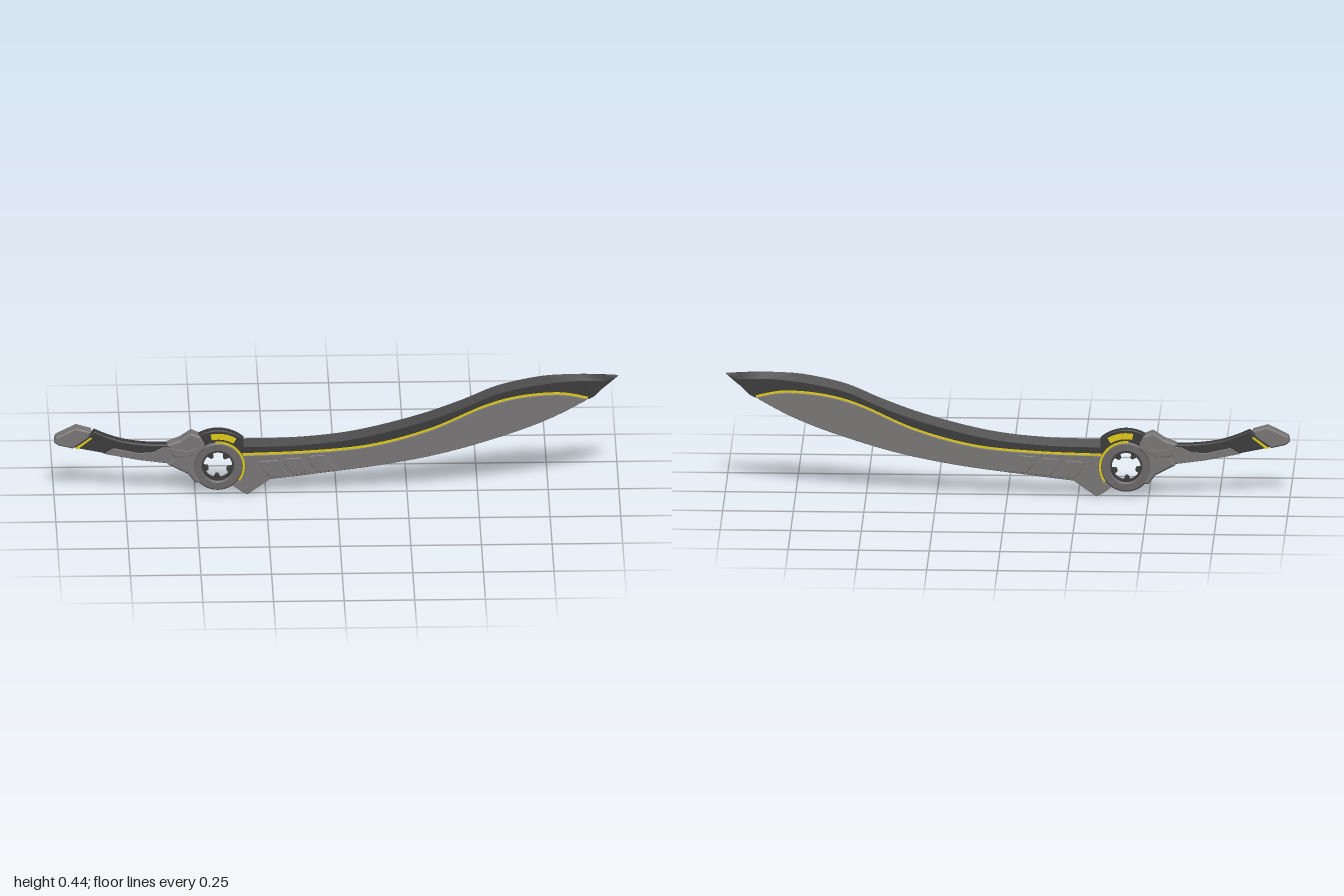
import * as THREE from 'three';

const mat = (name, color) => {
  const m = new THREE.MeshStandardMaterial({ color });
  m.name = name;
  return m;
};
const V = (p) => new THREE.Vector2(p[0], p[1]);
const smooth = (pts, n = 40) => new THREE.SplineCurve(pts.map(V)).getPoints(n);
const HUB = [-0.42, 0.112];

// points on an arc around the hub, angles in degrees
function arc(r, a0, a1, n = 24) {
  const out = [];
  for (let i = 0; i <= n; i++) {
    const a = THREE.MathUtils.degToRad(a0 + (a1 - a0) * i / n);
    out.push(new THREE.Vector2(HUB[0] + r * Math.cos(a), HUB[1] + r * Math.sin(a)));
  }
  return out;
}
const sector = (r0, r1, a0, a1) => [...arc(r1, a0, a1), ...arc(r0, a1, a0)];

export function createModel() {
  const group = new THREE.Group();
  const light = mat('steel grey', 0x777474);
  const mid = mat('ring grey', 0x686666);
  const dark = mat('charcoal', 0x3a3a3a);
  const yellow = mat('yellow', 0xdcc814);

  // flat outline extruded evenly to both sides of z = 0
  function plate(name, pts, half, bevel, material, hole) {
    const shape = new THREE.Shape(pts.map((p) => (p.isVector2 ? p : V(p))));
    if (hole) shape.holes.push(new THREE.Path(hole));
    const geo = new THREE.ExtrudeGeometry(shape, {
      depth: 2 * (half - bevel), bevelEnabled: bevel > 0, bevelThickness: bevel,
      bevelSize: bevel, bevelOffset: -bevel, bevelSegments: 1, curveSegments: 12,
    });
    geo.translate(0, 0, -(half - bevel));
    const mesh = new THREE.Mesh(geo, material);
    mesh.name = name;
    group.add(mesh);
    return mesh;
  }

  // dark spine of the blade: five-sided sections with a ridge on top
  const topPts = [[-0.35, 0.212], [-0.15, 0.215], [0.06, 0.238], [0.28, 0.293], [0.44, 0.35],
    [0.57, 0.405], [0.71, 0.437], [0.81, 0.445], [0.91, 0.445], [0.998, 0.44]];
  const seam = [[-0.345, 0.152], [-0.1, 0.16], [0.12, 0.182], [0.33, 0.24], [0.52, 0.325],
    [0.65, 0.362], [0.79, 0.373], [0.89, 0.355]];
  const lowPts = [[-0.35, 0.145], [-0.13, 0.153], [0.08, 0.172], [0.3, 0.225], [0.45, 0.285],
    [0.57, 0.335], [0.72, 0.362], [0.88, 0.35], [0.945, 0.394], [0.998, 0.438]];
  const N = 63;
  const top = smooth(topPts, N), low = smooth(lowPts, N);
  const pos = [], idx = [];
  for (let i = 0; i <= N; i++) {
    const t = top[i], b = low[i], h = t.distanceTo(b);
    const m = b.clone().lerp(t, Math.max(0.3, 1 - 0.03 / Math.max(h, 0.001)));
    const w = 0.01 * Math.min(1, 0.15 + (1 - i / N) * 5);
    pos.push(b.x, b.y, w, m.x, m.y, w, t.x, t.y, 0, m.x, m.y, -w, b.x, b.y, -w);
    if (i < N) {
      for (let k = 0; k < 5; k++) {
        const a = i * 5 + k, c = i * 5 + (k + 1) % 5;
        idx.push(a, a + 5, c, c, a + 5, c + 5);
      }
    }
  }
  idx.push(0, 1, 4, 1, 3, 4, 1, 2, 3);
  let spineGeo = new THREE.BufferGeometry();
  spineGeo.setAttribute('position', new THREE.Float32BufferAttribute(pos, 3));
  spineGeo.setIndex(idx);
  spineGeo = spineGeo.toNonIndexed();
  spineGeo.computeVertexNormals();
  const spine = new THREE.Mesh(spineGeo, dark);
  spine.name = 'bladeSpine';
  group.add(spine);

  // grey cutting body with the hooked heel beside the hub
  const seamLine = smooth(seam, 48);
  const edge = smooth([[0.89, 0.353], [0.76, 0.283], [0.6, 0.22], [0.385, 0.155],
    [0.17, 0.112], [-0.07, 0.08], [-0.235, 0.06]], 40).slice(1);
  plate('bladeBody', [...seamLine, ...edge, [-0.28, 0.028], [-0.315, 0.003], [-0.34, 0.017],
    [-0.368, 0.038], [-0.338, 0.057], [-0.326, 0.08], [-0.322, 0.112], [-0.328, 0.135]],
  0.016, 0.002, light);

  // yellow seam between spine and body
  const raised = seamLine.map((p) => new THREE.Vector2(p.x, p.y + 0.007));
  plate('bladeSeam', [...raised, ...seamLine.slice().reverse()], 0.0145, 0, yellow);

  // slanted raised panels near the heel
  for (let i = 0; i < 3; i++) {
    const x = -0.235 + i * 0.085, y = 0.068 + i * 0.009;
    plate('heelPanel' + (i + 1), [[x, y], [x + 0.072, y + 0.008], [x + 0.045, y + 0.03],
      [x + 0.025, y + 0.066], [x - 0.035, y + 0.062], [x - 0.03, y + 0.035]], 0.018, 0.002, light);
  }

  // hub ring with a toothed insert
  plate('hubRing', arc(0.09, 0, 360, 40).slice(1), 0.021, 0.005, mid, arc(0.056, 0, 360, 40).slice(1));
  const teeth = [];
  for (let i = 0; i < 5; i++) {
    teeth.push(...arc(0.051, i * 72 - 8, i * 72 + 38, 6), ...arc(0.035, i * 72 + 44, i * 72 + 58, 3));
  }
  plate('hubTeeth', arc(0.06, 0, 360, 40).slice(1), 0.012, 0, dark, teeth);
  plate('hubLine', sector(0.088, 0.096, -35, 95), 0.0175, 0, yellow);

  // dark cap over the hub with a yellow mark on each side
  plate('hubCap', [...arc(0.137, 48, 128), ...arc(0.092, 140, 20)], 0.0165, 0.003, dark);
  for (const s of [1, -1]) {
    const mark = plate('capMark', sector(0.103, 0.125, 58, 102), 0.001, 0, yellow);
    mark.position.z = s * 0.0168;
  }

  // guard claw gripping the hub
  plate('guard', [[-0.6, 0.198], [-0.555, 0.215], [-0.515, 0.242], [-0.482, 0.228], [-0.468, 0.2],
    [-0.465, 0.178], ...arc(0.082, 125, 212, 10), [-0.482, 0.052], [-0.5, 0.052], [-0.525, 0.085],
    [-0.595, 0.122], [-0.575, 0.15]], 0.025, 0.006, light);
  plate('guardRidge', [[-0.595, 0.188], [-0.53, 0.175], [-0.485, 0.19], [-0.5, 0.165],
    [-0.535, 0.15], [-0.58, 0.158]], 0.0265, 0.002, light);

  // grip with a grey lower inlay
  const gripTop = smooth([[-0.858, 0.25], [-0.8, 0.225], [-0.74, 0.208], [-0.66, 0.198], [-0.57, 0.197]], 14);
  plate('grip', [...gripTop, [-0.57, 0.125], [-0.75, 0.152], [-0.925, 0.188]], 0.017, 0.004, dark);
  plate('gripInlay', [[-0.825, 0.165], [-0.79, 0.187], [-0.7, 0.167], [-0.65, 0.17], [-0.615, 0.188],
    [-0.57, 0.188], [-0.57, 0.122], [-0.7, 0.14]], 0.0185, 0.002, light);

  // pommel and its yellow collar
  plate('pommelCollar', [[-0.926, 0.187], [-0.872, 0.228], [-0.864, 0.225], [-0.914, 0.185]], 0.0178, 0, yellow);
  plate('pommel', [[-1, 0.212], [-0.995, 0.23], [-0.922, 0.266], [-0.868, 0.25], [-0.88, 0.226],
    [-0.934, 0.188], [-0.985, 0.2]], 0.024, 0.005, light);

  return group;
}
